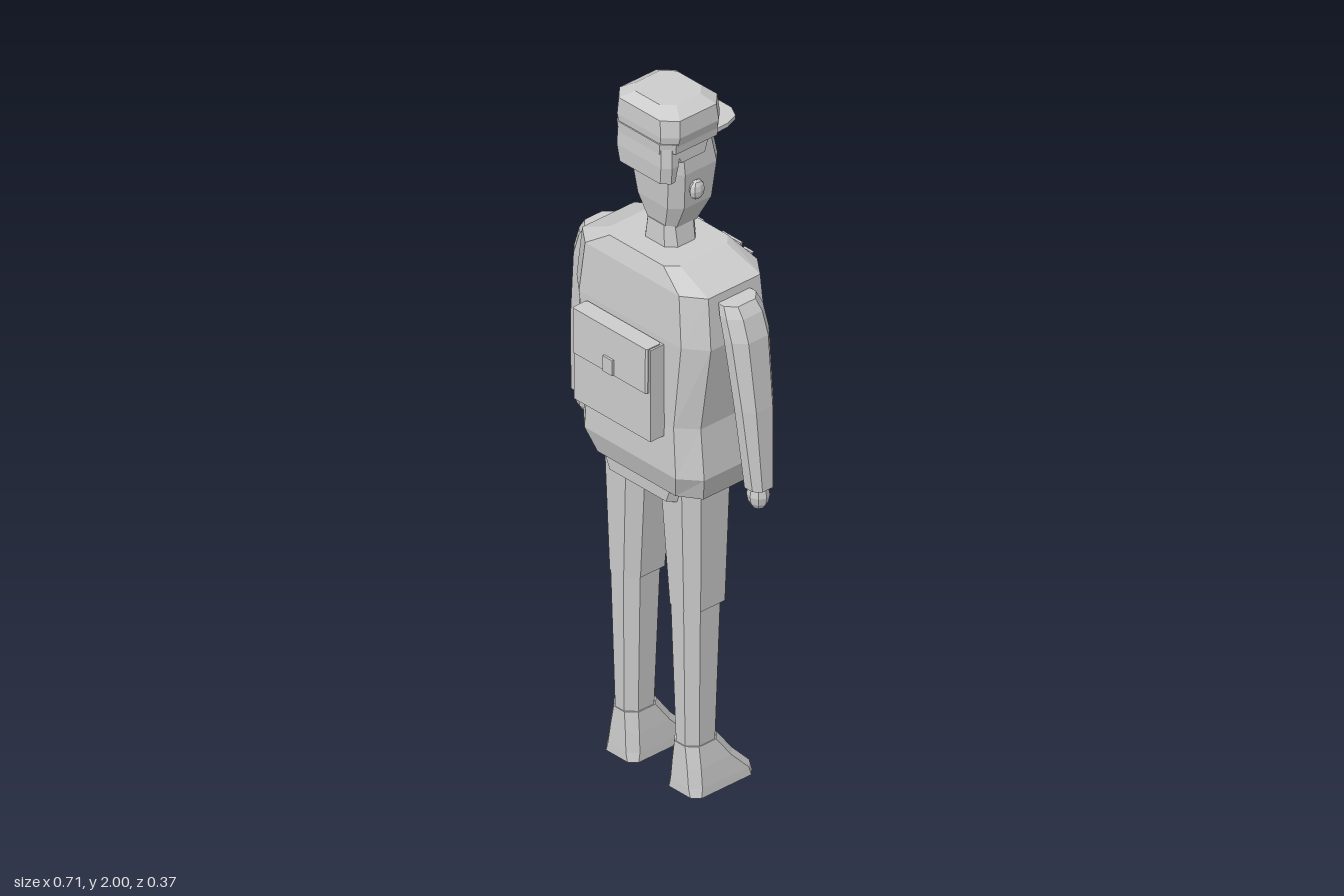
import * as THREE from 'three';

const grey = new THREE.MeshStandardMaterial({ color: 0xcccccc, flatShading: true });
grey.name = 'plain grey';

// Stack of chamfered rectangles, bottom to top: [y, x0, x1, z0, z1, chamferX, chamferZ]
function loft(sections) {
  const pos = [], idx = [], n = 8;
  for (const [y, x0, x1, z0, z1, cx, cz = cx] of sections) {
    const ring = [[x1, z1 - cz], [x1, z0 + cz], [x1 - cx, z0], [x0 + cx, z0],
      [x0, z0 + cz], [x0, z1 - cz], [x0 + cx, z1], [x1 - cx, z1]];
    for (const [x, z] of ring) pos.push(x, y, z);
  }
  const top = (sections.length - 1) * n;
  for (let s = 0; s < top; s += n) {
    for (let i = 0; i < n; i++) {
      const j = (i + 1) % n;
      idx.push(s + i, s + j, s + n + j, s + i, s + n + j, s + n + i);
    }
  }
  for (let i = 1; i < n - 1; i++) idx.push(0, i + 1, i, top, top + i, top + i + 1);
  const g = new THREE.BufferGeometry();
  g.setAttribute('position', new THREE.Float32BufferAttribute(pos, 3));
  g.setIndex(idx);
  const flat = g.toNonIndexed();
  flat.computeVertexNormals();
  return flat;
}

// Mirror-symmetric loft: [y, halfWidth, z0, z1, chamferX, chamferZ]
const symLoft = (rows) => loft(rows.map(([y, w, ...rest]) => [y, -w, w, ...rest]));

// Loft on one side of the body, given inner and outer distance from the middle
const sideLoft = (s, rows) => loft(rows.map(([y, a, b, ...rest]) =>
  [y, Math.min(s * a, s * b), Math.max(s * a, s * b), ...rest]));

// Thin plate from an outline in x and y
function plate(points, depth) {
  const shape = new THREE.Shape(points.map(([x, y]) => new THREE.Vector2(x, y)));
  return new THREE.ExtrudeGeometry(shape, { depth, bevelEnabled: false });
}

export function createModel() {
  const model = new THREE.Group();
  model.name = 'uniformedFigure';
  const add = (name, geometry, x = 0, y = 0, z = 0) => {
    const mesh = new THREE.Mesh(geometry, grey);
    mesh.name = name;
    mesh.position.set(x, y, z);
    model.add(mesh);
    return mesh;
  };
  const box = (name, w, h, d, x, y, z) => add(name, new THREE.BoxGeometry(w, h, d), x, y, z);
  const ball = (name, rx, ry, rz, x, y, z) =>
    add(name, new THREE.SphereGeometry(1, 8, 6).scale(rx, ry, rz), x, y, z);

  // Jacket and hips
  add('jacket', symLoft([
    [0.905, 0.205, -0.125, 0.10, 0.06, 0.04],
    [0.975, 0.225, -0.155, 0.122, 0.055, 0.047],
    [1.12, 0.21, -0.153, 0.12, 0.05, 0.047],
    [1.37, 0.25, -0.158, 0.122, 0.06, 0.047],
    [1.515, 0.235, -0.152, 0.115, 0.06, 0.045],
    [1.565, 0.13, -0.12, 0.10, 0.03],
  ]));
  add('hips', symLoft([
    [0.868, 0.145, -0.12, 0.095, 0.04],
    [0.92, 0.165, -0.122, 0.098, 0.04],
  ]));

  // Neck and head
  add('neck', symLoft([
    [1.55, 0.062, -0.07, 0.038, 0.025],
    [1.625, 0.05, -0.068, 0.034, 0.02],
  ]));
  add('head', symLoft([
    [1.615, 0.05, -0.08, 0.03, 0.02],
    [1.69, 0.085, -0.108, 0.045, 0.03],
    [1.80, 0.10, -0.112, 0.055, 0.03],
    [1.89, 0.095, -0.095, 0.06, 0.03],
  ]));
  add('backHair', symLoft([
    [1.79, 0.095, 0.035, 0.088, 0.02],
    [1.84, 0.102, 0.03, 0.092, 0.02],
    [1.90, 0.10, 0.02, 0.09, 0.02],
  ]));
  add('sideHair', symLoft([
    [1.845, 0.102, -0.06, 0.06, 0.02],
    [1.90, 0.10, -0.08, 0.08, 0.02],
  ]));
  ball('nose', 0.015, 0.03, 0.022, 0, 1.745, -0.115);
  box('mouth', 0.045, 0.006, 0.006, 0, 1.672, -0.104);

  // Cap with visor
  add('cap', symLoft([
    [1.88, 0.102, -0.105, 0.088, 0.03],
    [1.93, 0.116, -0.11, 0.092, 0.035],
    [1.978, 0.112, -0.105, 0.09, 0.035],
    [2.0, 0.075, -0.08, 0.062, 0.03],
  ]));
  add('capBand', symLoft([
    [1.88, 0.106, -0.108, 0.092, 0.03],
    [1.91, 0.109, -0.109, 0.094, 0.03],
  ]));
  const visor = plate([[-0.098, 0.05], [-0.095, 0.125], [-0.08, 0.165], [-0.045, 0.183],
    [0.045, 0.183], [0.08, 0.165], [0.095, 0.125], [0.098, 0.05]], 0.012);
  visor.rotateX(-Math.PI / 2);
  add('visor', visor, 0, 1.879, 0);

  // Paired parts
  for (const s of [1, -1]) {
    ball('ear', 0.015, 0.028, 0.024, s * 0.104, 1.747, -0.011);
    box('eye', 0.022, 0.012, 0.006, s * 0.04, 1.77, -0.112);
    box('eyebrow', 0.036, 0.007, 0.008, s * 0.042, 1.80, -0.112);

    add('arm', sideLoft(s, [
      [0.968, 0.29, 0.356, -0.058, 0.014, 0.018],
      [1.2, 0.265, 0.345, -0.074, 0.032, 0.025],
      [1.4, 0.235, 0.325, -0.082, 0.045, 0.03],
      [1.462, 0.22, 0.305, -0.08, 0.045, 0.03],
      [1.492, 0.215, 0.285, -0.07, 0.04, 0.025],
    ]));
    ball('hand', 0.032, 0.042, 0.028, s * 0.319, 0.94, -0.023);

    add('thigh', sideLoft(s, [
      [0.545, 0.056, 0.168, -0.078, 0.065, 0.03],
      [0.9, 0.03, 0.178, -0.09, 0.077, 0.035],
    ]));
    add('calf', sideLoft(s, [
      [0.12, 0.072, 0.155, -0.05, 0.053, 0.025],
      [0.56, 0.058, 0.166, -0.064, 0.064, 0.03],
    ]));
    add('shoe', sideLoft(s, [
      [0, 0.057, 0.177, -0.15, 0.06, 0.02],
      [0.025, 0.058, 0.175, -0.148, 0.06, 0.025],
      [0.08, 0.062, 0.168, -0.095, 0.058, 0.025],
      [0.14, 0.068, 0.158, -0.052, 0.056, 0.025],
    ]));

    // Lapel tilts with the chest, pocket flap lies on the jacket
    const lapel = plate([[s * 0.035, 1.53], [0, 1.36], [s * 0.055, 1.41],
      [s * 0.085, 1.45], [s * 0.11, 1.53]], 0.008);
    add('lapel', lapel, 0, 0, -0.163);
    box('pocketFlap', 0.09, 0.022, 0.01, s * 0.125, 1.08, -0.157);
  }

  // Button strip, buttons and shoulder strap
  box('buttonStrip', 0.008, 0.3, 0.01, 0, 1.2, -0.157);
  for (const y of [1.33, 1.24, 1.15, 1.06]) box('button', 0.02, 0.03, 0.012, 0, y, -0.161);
  add('strap', plate([[0.15, 1.52], [0.115, 1.52], [-0.2, 0.96], [-0.175, 0.95]], 0.008), 0, 0, -0.164);

  // Pack on the back
  box('packBody', 0.285, 0.27, 0.055, -0.017, 1.218, 0.14);
  add('packFlap', loft([
    [1.226, -0.158, 0.12, 0.125, 0.177, 0.005],
    [1.356, -0.158, 0.12, 0.125, 0.175, 0.005],
  ]));
  box('packClasp', 0.035, 0.045, 0.012, -0.018, 1.25, 0.177);

  return model;
}
